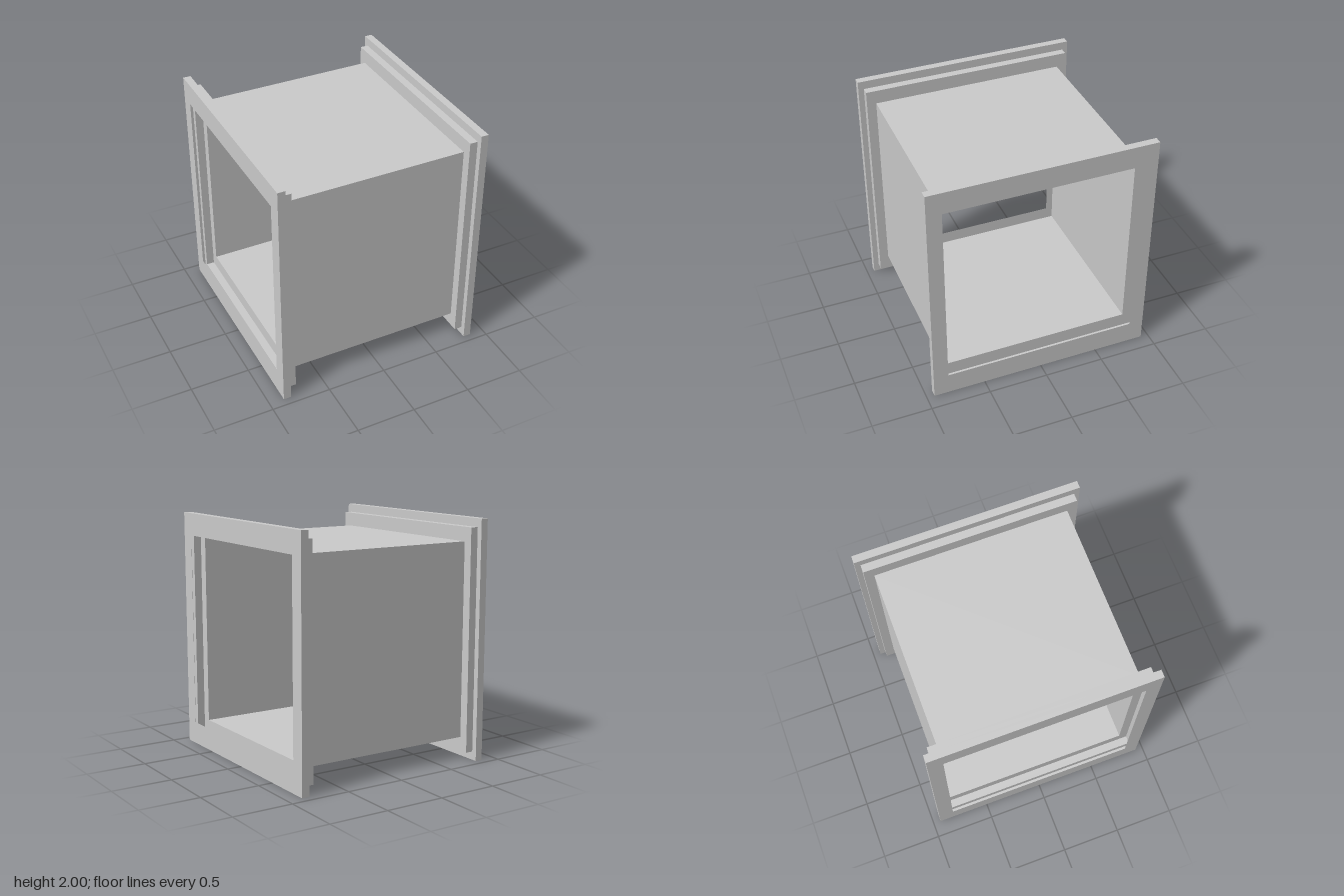
import * as THREE from 'three';

// Sheet metal skin lofted through rectangular rings [x, halfHeight, halfDepth]
function loftRings(name, rings, material) {
  const corners = [[1, 1], [1, -1], [-1, -1], [-1, 1]];
  const positions = [];
  const index = [];
  for (const [x, h, d] of rings) {
    for (const [sy, sz] of corners) positions.push(x, 1 + sy * h, sz * d);
  }
  for (let r = 0; r < rings.length - 1; r++) {
    for (let i = 0; i < 4; i++) {
      const a = r * 4 + i, a2 = r * 4 + (i + 1) % 4;
      const b = a + 4, b2 = a2 + 4;
      index.push(a, b, b2, a, b2, a2);
    }
  }
  const indexed = new THREE.BufferGeometry();
  indexed.setAttribute('position', new THREE.Float32BufferAttribute(positions, 3));
  indexed.setIndex(index);
  const geometry = indexed.toNonIndexed();
  geometry.computeVertexNormals();
  const mesh = new THREE.Mesh(geometry, material);
  mesh.name = name;
  return mesh;
}

export function createModel() {
  const group = new THREE.Group();
  group.name = 'flangedDuct';
  const material = new THREE.MeshStandardMaterial({
    color: 0xcccccc, flatShading: true, side: THREE.DoubleSide,
  });

  const ductH = 0.813, ductD = 0.812;
  const ductEnd = 0.747, stepX = 0.813, outerX = 0.876;

  // Open square duct
  group.add(loftRings('duct', [[-ductEnd, ductH, ductD], [ductEnd, ductH, ductD]], material));

  // Folded flange profile: out, along, out, along, then back in to the opening
  const profile = [
    [ductEnd, ductH, ductD],
    [ductEnd, 0.93, 0.89],
    [stepX, 0.93, 0.89],
    [stepX, 1, 0.936],
    [outerX, 1, 0.936],
    [outerX, ductH, ductD],
  ];
  group.add(loftRings('leftFlange', profile, material));
  const mirrored = profile.map(([x, h, d]) => [-x, h, d]).reverse();
  group.add(loftRings('rightFlange', mirrored, material));

  return group;
}
